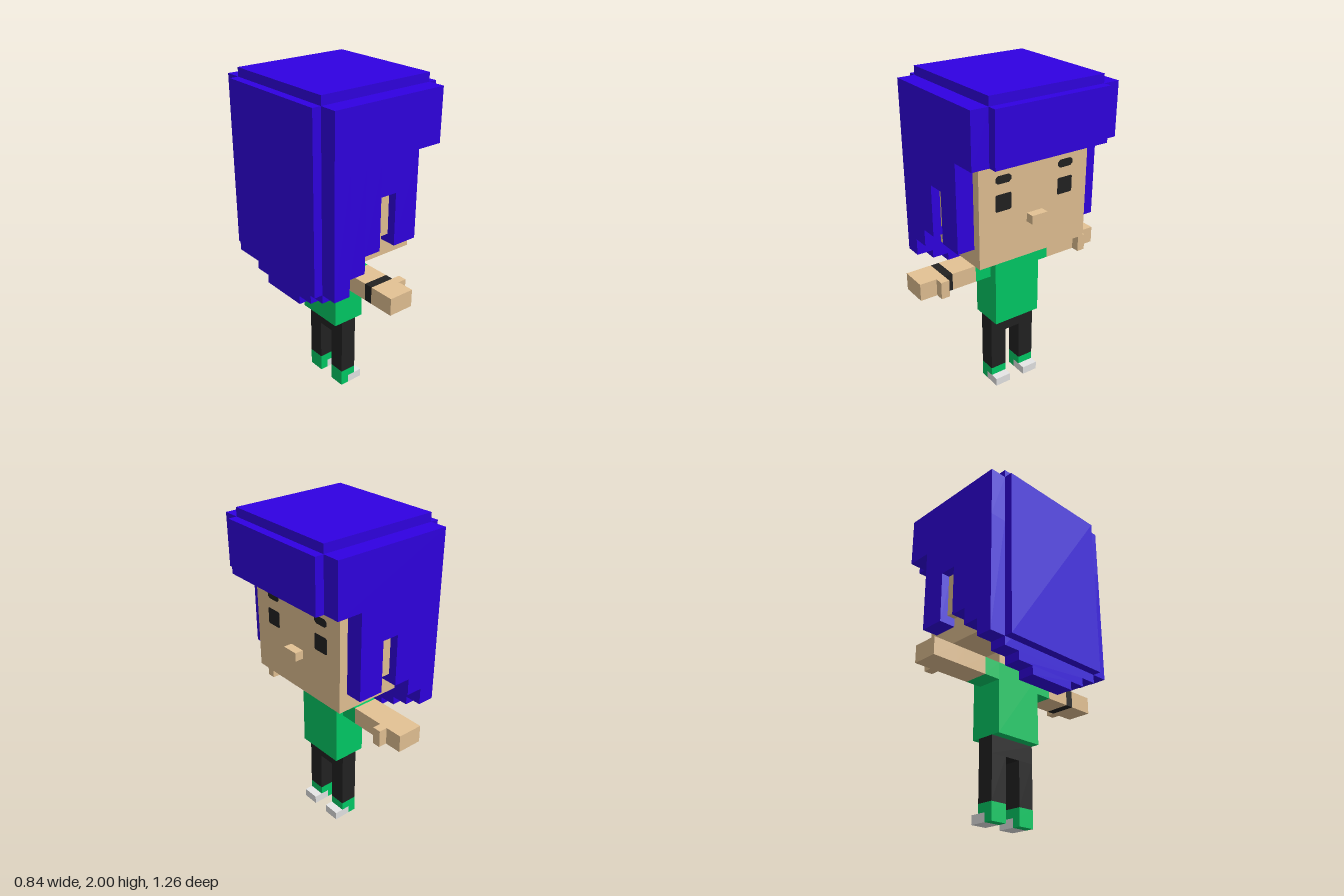
import * as THREE from 'three';

const U = 2 / 38; // one block unit

const mat = (name, color) => Object.assign(new THREE.MeshStandardMaterial({ color }), { name });

export function createModel() {
  const hair = mat('hair blue', 0x3000e2);
  const skin = mat('skin tan', 0xe4c294);
  const green = mat('shirt green', 0x00cc66);
  const dark = mat('charcoal', 0x222222);
  const grey = mat('shoe grey', 0xe6e6e6);

  const model = new THREE.Group();
  model.name = 'blockFigure';

  // Box between two corners given in block units
  const box = (name, m, x0, x1, y0, y1, z0, z1) => {
    const mesh = new THREE.Mesh(new THREE.BoxGeometry((x1 - x0) * U, (y1 - y0) * U, (z1 - z0) * U), m);
    mesh.position.set((x0 + x1) / 2 * U, (y0 + y1) / 2 * U, (z0 + z1) / 2 * U);
    mesh.name = name;
    model.add(mesh);
  };
  // The same box on both sides of the body
  const pair = (name, m, x0, x1, y0, y1, z0, z1) => {
    box(name + 'Left', m, x0, x1, y0, y1, -z1, -z0);
    box(name + 'Right', m, x0, x1, y0, y1, z0, z1);
  };
  // Thin plate with clipped corners, laid on the face
  const plate = (name, w, h, cutX, cutY, y, z) => {
    const a = w / 2, b = h / 2;
    const pts = [[-a, -b + cutY], [-a + cutX, -b], [a - cutX, -b], [a, -b + cutY],
      [a, b - cutY], [a - cutX, b], [-a + cutX, b], [-a, b - cutY]];
    const shape = new THREE.Shape(pts.map(([px, py]) => new THREE.Vector2(px * U, py * U)));
    const mesh = new THREE.Mesh(new THREE.ExtrudeGeometry(shape, { depth: 0.001, bevelEnabled: false }), dark);
    mesh.rotation.y = Math.PI / 2;
    mesh.position.set(5 * U, y * U, z * U);
    mesh.name = name;
    model.add(mesh);
  };

  // Head
  box('head', skin, -5, 5, 19, 31, -7, 7);
  box('nose', skin, 5, 6, 23, 24, -1, 1);
  box('neck', skin, -1, 1, 17, 19, -2, 2);
  pair('ear', skin, -1, 1, 22, 27, 7, 8);
  for (const s of [-1, 1]) {
    plate('eye', 1.95, 1.9, 0.12, 0.12, 26, 4 * s);
    plate('eyebrow', 1.95, 0.9, 0.3, 0.25, 28.55, 4 * s);
  }

  // Hair: cap, fringe and outer back panel
  box('hairCap', hair, -7, 7, 31, 38, -7, 7);
  box('hairFringe', hair, 7, 8, 31, 37, -7, 7);
  box('hairBackPanel', hair, -8, -7, 17, 37, -7, 7);
  // Back hair, stepping down to a point in the middle
  box('hairBack', hair, -7, -5, 16, 31, -7, 7);
  box('hairBackStep', hair, -7, -5, 15, 16, -5, 5);
  box('hairBackTip', hair, -7, -5, 14, 15, -3, 3);
  // Side hair, with a slot for each ear
  pair('hairSideTop', hair, -7, 7, 31, 37, 7, 9);
  pair('hairSideOverEar', hair, -1, 1, 27, 31, 7, 9);
  pair('hairSideFront', hair, 1, 4, 21, 31, 7, 9);
  pair('hairSideMiddle', hair, -3, -1, 21, 31, 7, 9);
  pair('hairSideRear', hair, -5, -3, 19, 31, 7, 9);
  pair('hairSideBack', hair, -7, -5, 17, 31, 7, 9);

  // Torso and arms
  box('torso', green, -2, 2, 9, 17, -3, 3);
  pair('sleeve', green, -2, 1, 15, 17, 3, 5);
  pair('forearm', skin, -2, 1, 15, 17, 5, 8);
  box('wrist', skin, -2, 1, 15, 17, -9, -8);
  box('wristband', dark, -2, 1, 15, 17, 8, 9);
  pair('hand', skin, -2, 1, 15, 17, 9, 12);
  pair('thumb', skin, 1, 2, 15, 17, 9, 10);

  // Legs and feet
  box('hips', dark, -1, 1, 7, 9, -3, 3);
  pair('leg', dark, -1, 1, 2, 7, 1, 3);
  pair('sock', green, -1, 1, 1, 2, 1, 3);
  pair('heel', green, -1, 0, 0, 1, 1, 3);
  pair('shoe', grey, 0, 2, 0, 1, 1, 3);

  return model;
}
